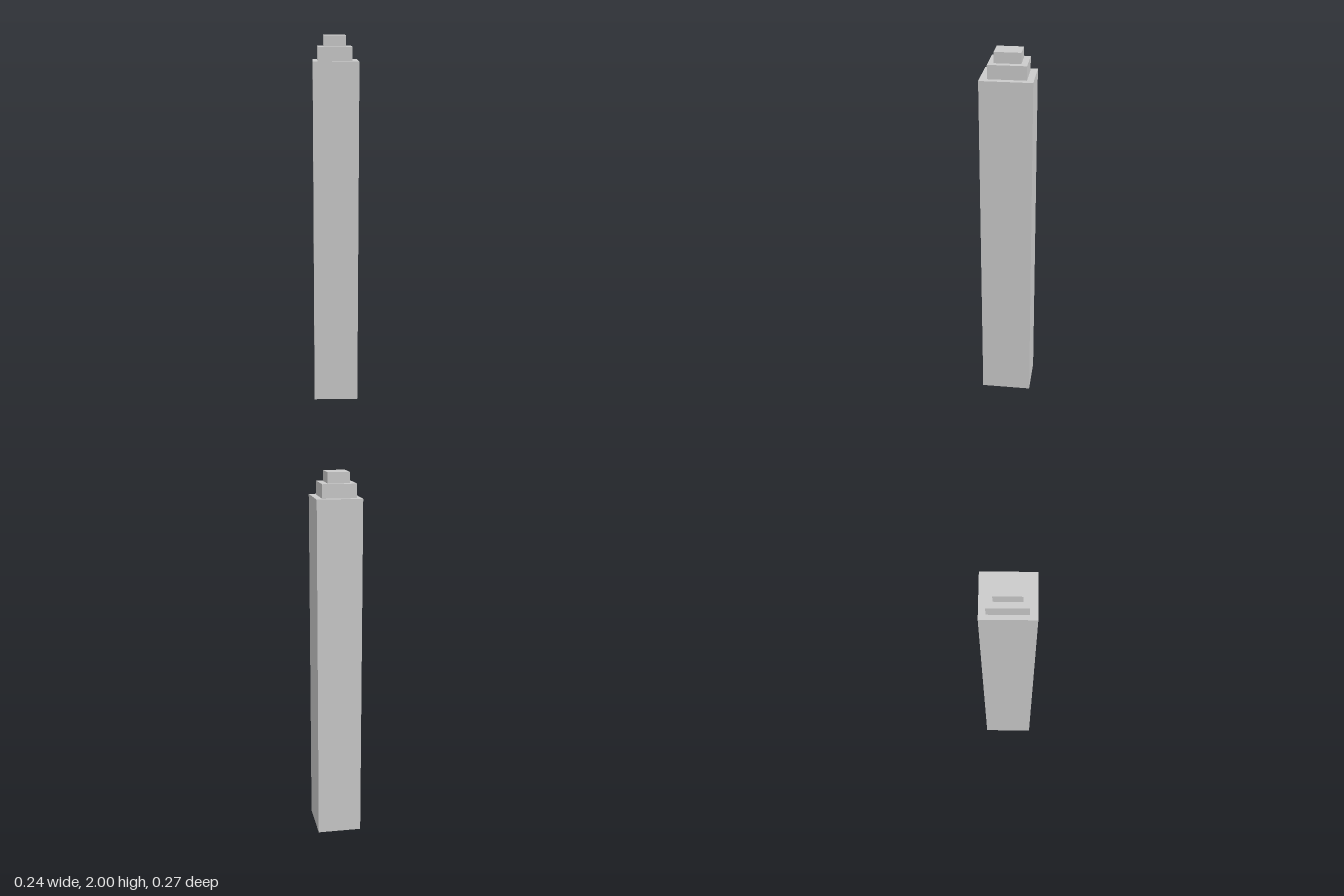
import * as THREE from 'three';

// Stacked tiers, bottom to top: x range, z range, y range
const TIERS = [
  { name: 'towerShaft', x: [-0.12, 0.12], z: [-0.137, 0.137], y: [0, 1.87] },
  { name: 'middleTier', x: [-0.095, 0.086], z: [-0.102, 0.098], y: [1.87, 1.943] },
  { name: 'topTier', x: [-0.063, 0.053], z: [-0.07, 0.068], y: [1.943, 2] },
];

const size = ([a, b]) => b - a;
const middle = ([a, b]) => (a + b) / 2;

// Four walls of a box, open at top and bottom
function wallsGeometry({ x, y, z }) {
  const box = new THREE.BoxGeometry(size(x), size(y), size(z));
  const index = Array.from(box.index.array);
  box.setIndex([...index.slice(0, 12), ...index.slice(24)]);
  box.clearGroups();
  return box.translate(middle(x), middle(y), middle(z));
}

function outline(path, { x, z }) {
  path.moveTo(x[0], -z[1]);
  path.lineTo(x[1], -z[1]);
  path.lineTo(x[1], -z[0]);
  path.lineTo(x[0], -z[0]);
  path.closePath();
  return path;
}

// Flat roof, cut out where the next tier stands on it
function roofGeometry(tier, next) {
  const shape = outline(new THREE.Shape(), tier);
  if (next) shape.holes.push(outline(new THREE.Path(), next));
  return new THREE.ShapeGeometry(shape).rotateX(-Math.PI / 2).translate(0, tier.y[1], 0);
}

export function createModel() {
  const model = new THREE.Group();
  model.name = 'steppedTower';
  // The hollow shell is open underneath
  const material = new THREE.MeshStandardMaterial({
    color: 0xcccccc, flatShading: true, side: THREE.DoubleSide,
  });

  TIERS.forEach((tier, i) => {
    const group = new THREE.Group();
    group.name = tier.name;
    const walls = new THREE.Mesh(wallsGeometry(tier), material);
    walls.name = 'walls';
    const roof = new THREE.Mesh(roofGeometry(tier, TIERS[i + 1]), material);
    roof.name = TIERS[i + 1] ? 'ledge' : 'roof';
    group.add(walls, roof);
    model.add(group);
  });
  return model;
}
